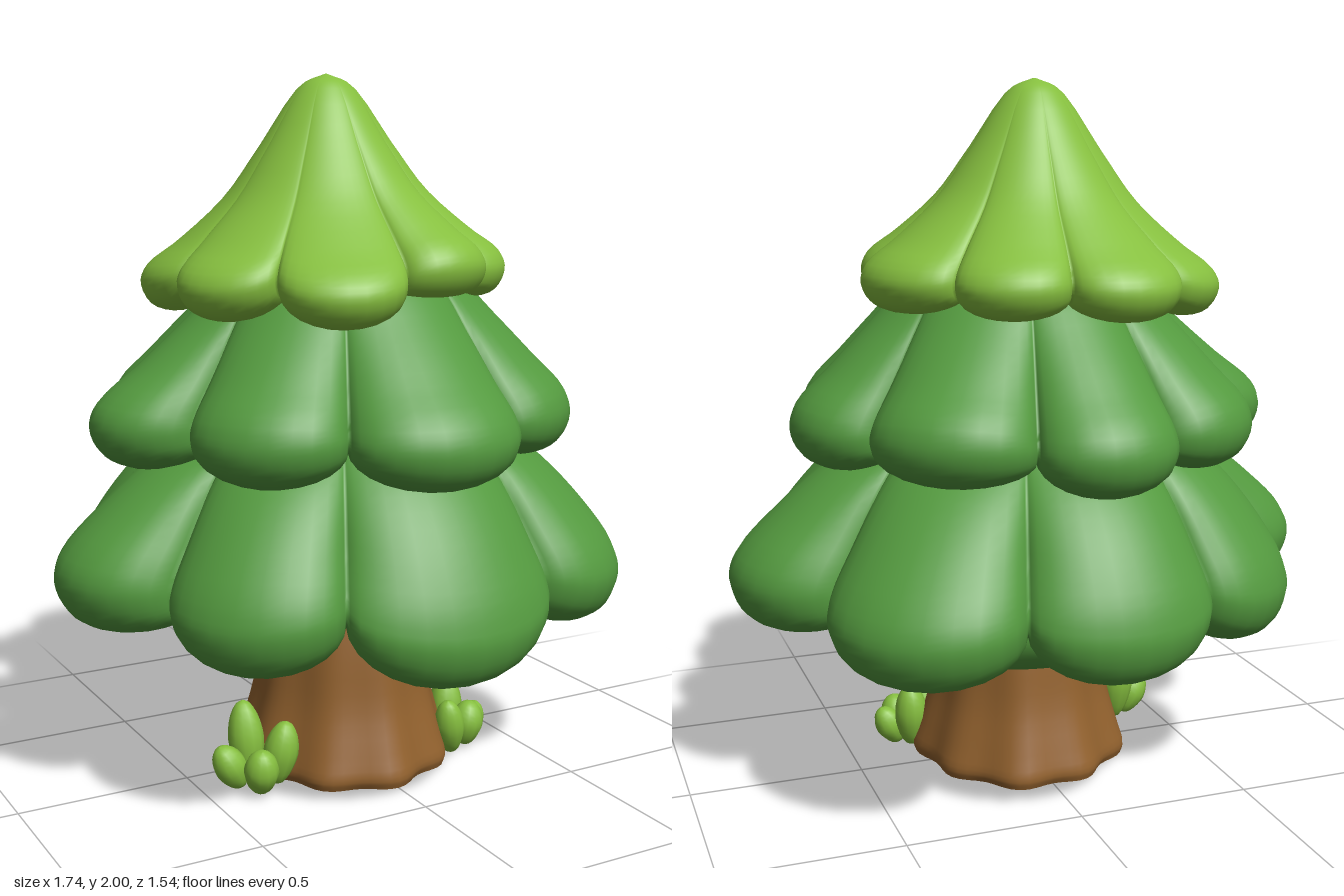
import * as THREE from 'three';

const rad = THREE.MathUtils.degToRad;
const mat = (name, color) => {
  const m = new THREE.MeshStandardMaterial({ color });
  m.name = name;
  return m;
};

// Closed smooth surface from rows x columns of points, rows running downward
function ringSurface(rows, cols, point) {
  const pos = [], idx = [];
  for (let i = 0; i <= rows; i++)
    for (let j = 0; j < cols; j++) pos.push(...point(i / rows, j));
  for (let i = 0; i < rows; i++)
    for (let j = 0; j < cols; j++) {
      const k = (j + 1) % cols;
      const a = i * cols + j, b = a + cols, c = b - j + k, d = i * cols + k;
      idx.push(a, b, d, b, c, d);
    }
  const g = new THREE.BufferGeometry();
  g.setAttribute('position', new THREE.Float32BufferAttribute(pos, 3));
  g.setIndex(idx);
  g.computeVertexNormals();
  return g;
}

const profileCurve = pts =>
  new THREE.CatmullRomCurve3(pts.map(([r, y]) => new THREE.Vector3(r, y, 0)), false, 'centripetal');

// Foliage skirt: blends a notch profile into a lobe profile around the trunk
function tierGeometry({ lobe, notch, notches, radii, drops, size, cx = 0, cz = 0 }) {
  const per = 14, rows = 36, n = notches.length;
  const L = profileCurve(lobe), N = profileCurve(notch);
  return ringSurface(rows, n * per, (v, j) => {
    const k = Math.floor(j / per);
    const phi = ((j % per) / per - 0.5) * Math.PI;
    const from = notches[k], to = k + 1 < n ? notches[k + 1] : notches[0] + 360;
    const th = rad(from + (to - from) * (0.5 + 0.5 * Math.sin(phi)));
    const s = Math.max(0, Math.cos(phi)) ** 1.15;
    const p = N.getPoint(v).lerp(L.getPoint(v), s);
    const fade = THREE.MathUtils.smoothstep(v, 0.1, 0.5) * s;
    const r = p.x * (1 + (radii[k] / size - 1) * fade);
    // Undersides settle back to a common height near the centre
    const y = p.y + drops[k] * fade * (1 - THREE.MathUtils.smoothstep(v, 0.8, 1));
    return [cx + r * Math.sin(th), y, cz + r * Math.cos(th)];
  });
}

const lowerTier = {
  size: 0.84,
  lobe: [[0.2, 1.2], [0.45, 1.02], [0.59, 0.92], [0.73, 0.78], [0.82, 0.66], [0.84, 0.58], [0.8, 0.49], [0.7, 0.45], [0.5, 0.5], [0.01, 0.6]],
  notch: [[0.2, 1.2], [0.44, 1.0], [0.53, 0.89], [0.6, 0.76], [0.65, 0.67], [0.66, 0.63], [0.64, 0.59], [0.58, 0.57], [0.45, 0.58], [0.01, 0.6]],
  notches: [28, 74, 114, 162, 209, 252, 291, 333],
  radii: [0.82, 0.87, 0.85, 0.77, 0.79, 0.87, 0.8, 0.77],
  drops: [0.01, 0.05, 0, -0.01, 0, 0.05, 0, -0.05],
};
const middleTier = {
  size: 0.7,
  lobe: [[0.1, 1.6], [0.33, 1.45], [0.45, 1.33], [0.58, 1.2], [0.68, 1.1], [0.7, 1.03], [0.67, 0.96], [0.58, 0.92], [0.42, 0.96], [0.01, 1.05]],
  notch: [[0.1, 1.6], [0.33, 1.43], [0.42, 1.3], [0.49, 1.17], [0.535, 1.08], [0.545, 1.05], [0.53, 1.02], [0.48, 1.01], [0.38, 1.02], [0.01, 1.05]],
  notches: [27, 76, 116, 165, 206, 250, 288, 334],
  radii: [0.67, 0.69, 0.68, 0.69, 0.68, 0.75, 0.68, 0.7],
  drops: [0.02, 0.02, 0.03, 0, 0.02, 0.01, 0, -0.01],
};
const topTier = {
  size: 0.53, cx: -0.04,
  lobe: [[0.003, 2.0], [0.07, 1.97], [0.19, 1.8], [0.29, 1.66], [0.42, 1.54], [0.51, 1.47], [0.53, 1.42], [0.5, 1.36], [0.42, 1.34], [0.28, 1.39], [0.01, 1.44]],
  notch: [[0.003, 2.0], [0.07, 1.97], [0.185, 1.8], [0.28, 1.66], [0.38, 1.55], [0.425, 1.49], [0.435, 1.46], [0.42, 1.43], [0.37, 1.42], [0.26, 1.42], [0.01, 1.44]],
  notches: [0, 39, 78, 132, 173, 217, 272, 315],
  radii: [0.52, 0.51, 0.53, 0.53, 0.55, 0.53, 0.53, 0.56],
  drops: [0.06, 0.04, 0.03, 0.03, 0.02, 0, 0, -0.01],
};

// Trunk with a flared, rippled foot
function trunkGeometry() {
  const c = profileCurve([[0.2, 0.72], [0.22, 0.55], [0.245, 0.38], [0.265, 0.22], [0.3, 0.09], [0.315, 0.03], [0.305, 0.003]]);
  return ringSurface(20, 72, (v, j) => {
    const th = (j / 72) * Math.PI * 2, p = c.getPoint(v);
    const r = p.x * (1 + (0.015 + 0.03 * v * v) * Math.cos(9 * th) + 0.015 * Math.cos(4 * th + 1));
    return [r * Math.sin(th) * 0.97, p.y, 0.025 + r * Math.cos(th) * 1.03];
  });
}

// Pointed bud standing on its base: [x, z, height, width, leanX, leanZ]
function addBush(parent, name, x, z, leaves, material) {
  const bush = new THREE.Group();
  bush.name = name;
  bush.position.set(x, 0, z);
  const shape = [[0.001, 0], [0.5, 0.07], [0.85, 0.28], [1, 0.52], [0.85, 0.75], [0.45, 0.94], [0.001, 1]];
  const pts = profileCurve(shape).getPoints(14).map(p => new THREE.Vector2(Math.max(p.x, 0), p.y));
  const geo = new THREE.LatheGeometry(pts, 12);
  for (const [lx, lz, h, w, ax, az] of leaves) {
    const leaf = new THREE.Mesh(geo, material);
    leaf.name = 'leaf';
    leaf.position.set(lx, 0.01, lz);
    leaf.scale.set(w, h, w);
    leaf.rotation.set(az, 0, -ax);
    bush.add(leaf);
  }
  parent.add(bush);
}

export function createModel() {
  const lime = mat('lime green', 0x86bf3f);
  const green = mat('pine green', 0x549a3f);
  const brown = mat('bark brown', 0x93622e);
  const tree = new THREE.Group();
  tree.name = 'pineTree';
  const add = (name, geo, m) => {
    const mesh = new THREE.Mesh(geo, m);
    mesh.name = name;
    tree.add(mesh);
    return mesh;
  };

  // Trunk and its flat base
  add('trunk', trunkGeometry(), brown);
  const base = add('trunkBase', new THREE.CircleGeometry(0.3, 36), brown);
  base.rotation.x = Math.PI / 2;
  base.position.set(0, 0.004, 0.025);

  // Foliage, from the ground up
  const tuft = add('backTuft', new THREE.SphereGeometry(1, 32, 20), green);
  tuft.scale.set(0.43, 0.17, 0.27);
  tuft.position.set(-0.01, 0.5, -0.13);
  add('lowerFoliage', tierGeometry(lowerTier), green);
  add('middleFoliage', tierGeometry(middleTier), green);
  add('topFoliage', tierGeometry(topTier), lime);

  // Little bushes at the foot
  addBush(tree, 'rightBush', -0.35, 0.14, [
    [0, -0.03, 0.235, 0.052, -0.05, -0.1], [-0.04, 0, 0.145, 0.047, -0.5, 0],
    [0.05, 0.03, 0.19, 0.05, 0.15, 0.1], [-0.01, 0.06, 0.14, 0.05, -0.1, 0.3],
  ], lime);
  addBush(tree, 'leftBush', 0.3, 0.16, [
    [0.01, -0.04, 0.2, 0.05, 0.06, -0.12], [0.04, 0, 0.13, 0.043, 0.5, -0.1],
    [-0.03, 0.05, 0.18, 0.046, -0.2, 0.2], [0.03, 0.02, 0.14, 0.05, 0.15, 0.1],
  ], lime);
  return tree;
}
